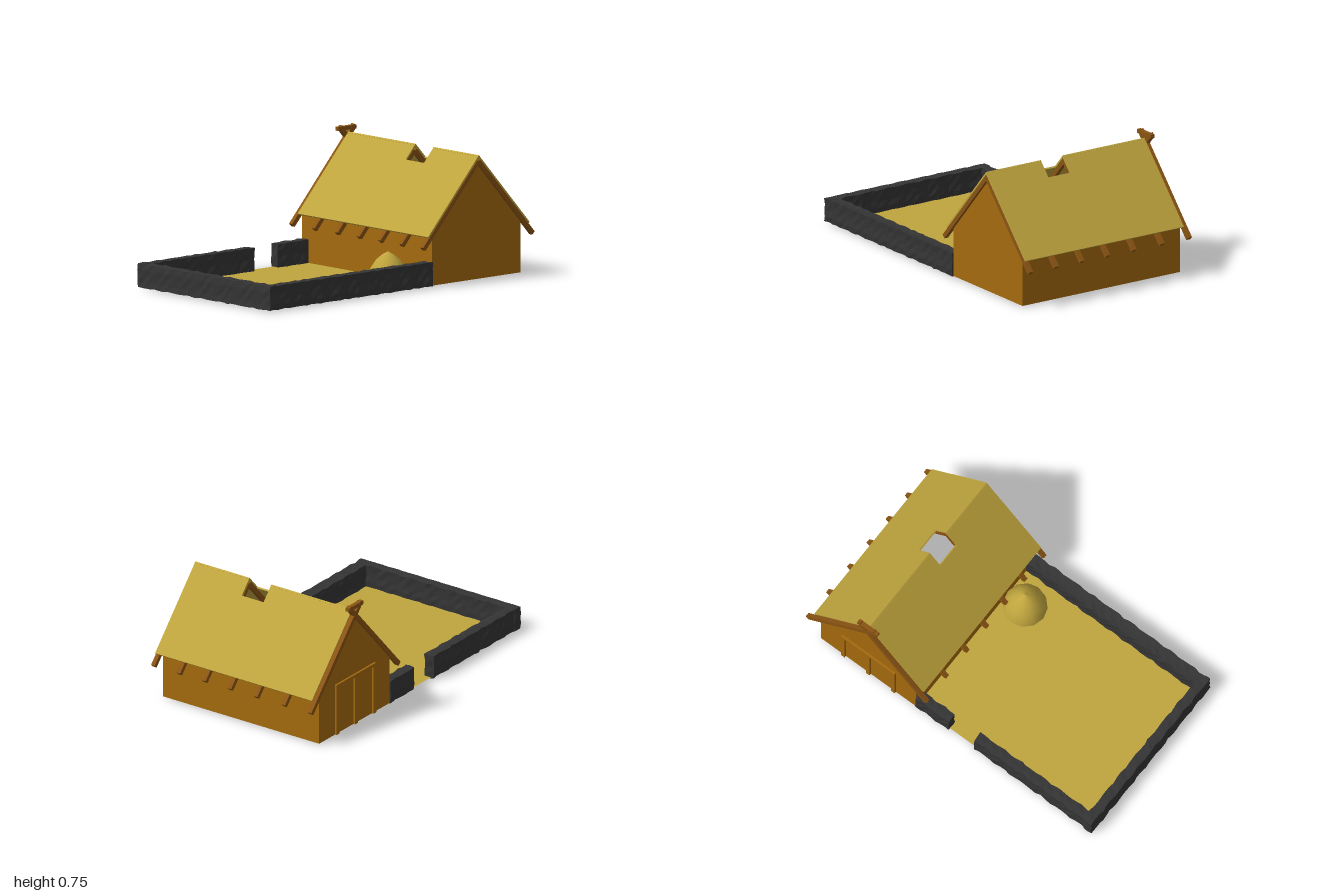
import * as THREE from 'three';

const mat = (name, color, extra = {}) => {
  const m = new THREE.MeshStandardMaterial({ color, ...extra });
  m.name = name;
  return m;
};

export function createModel() {
  const root = new THREE.Group();
  const straw = mat('straw', 0xbfa43d, { side: THREE.DoubleSide });
  const plank = mat('plank', 0xa46a0e, { side: THREE.DoubleSide });
  const timber = mat('timber', 0x8a5413);
  const stone = mat('darkStone', 0x343434);

  const add = (parent, name, geo, material, x = 0, y = 0, z = 0) => {
    const mesh = new THREE.Mesh(geo, material);
    mesh.name = name;
    mesh.position.set(x, y, z);
    parent.add(mesh);
    return mesh;
  };
  const box = (parent, name, material, w, h, d, x, y, z) =>
    add(parent, name, new THREE.BoxGeometry(w, h, d), material, x, y, z);

  // Yard floor
  add(root, 'yardFloor', new THREE.PlaneGeometry(1.05, 1.2).rotateX(-Math.PI / 2), straw, 0, 0.012, 0.36);

  // Rough stone walls: boxes whose vertices are pushed about by smooth noise
  const noise = (a, b, c, k) =>
    0.5 * Math.sin(a * 47 + c * 31 + k) + 0.3 * Math.sin(b * 83 - a * 71 + k * 2.3) + 0.3 * Math.sin(c * 97 + b * 59 + k * 3.1);
  const stoneWall = (name, x0, x1, z0, z1) => {
    const w = x1 - x0, d = z1 - z0, h = 0.136;
    const seg = (v) => Math.max(2, Math.round(v / 0.035));
    let g = new THREE.BoxGeometry(w, h, d, seg(w), 4, seg(d));
    g.translate((x0 + x1) / 2, 0.007 + h / 2, (z0 + z1) / 2);
    const p = g.attributes.position;
    for (let i = 0; i < p.count; i++) {
      const x = p.getX(i), y = p.getY(i), z = p.getZ(i);
      p.setXYZ(i,
        x + 0.007 * noise(z, y, x, 1),
        Math.max(0, y + 0.005 * noise(x, z, y, 2)),
        z + (z < -0.2 ? 0 : 0.006 * noise(x, y, z, 4)));
    }
    g = g.toNonIndexed();
    g.computeVertexNormals();
    add(root, name, g, stone);
  };
  stoneWall('frontYardWall', -0.543, 0.543, 0.935, 0.99);
  stoneWall('leftYardWall', 0.475, 0.543, -0.24, 0.985);
  stoneWall('rightYardWallLong', -0.54, -0.483, 0.17, 0.985);
  stoneWall('rightYardWallShort', -0.54, -0.483, -0.24, -0.01);

  // Hay pile
  const hay = [[0.128, 0.004], [0.12, 0.05], [0.1, 0.095], [0.07, 0.14], [0.035, 0.17], [0, 0.19]];
  add(root, 'hayPile', new THREE.LatheGeometry(hay.map(([r, y]) => new THREE.Vector2(r, y)), 12), straw, 0.305, 0, -0.12);

  // House walls: two long sides and two gables, open underneath
  const house = new THREE.Group();
  house.name = 'house';
  root.add(house);
  const zF = -0.24, zB = -0.908, wallX = 0.536, eave = 0.31, base = 0.01;
  const sideGeo = new THREE.PlaneGeometry(wallX * 2, eave - base);
  add(house, 'frontWall', sideGeo, plank, 0, (eave + base) / 2, zF);
  add(house, 'backWall', sideGeo.clone().rotateY(Math.PI), plank, 0, (eave + base) / 2, zB);
  const gable = new THREE.Shape([[-zF, base], [-zB, base], [-zB, eave], [0.576, 0.685], [-zF, eave]]
    .map(([a, b]) => new THREE.Vector2(a, b)));
  const gableGeo = new THREE.ShapeGeometry(gable).rotateY(Math.PI / 2);
  add(house, 'leftGable', gableGeo, plank, wallX);
  add(house, 'rightGable', gableGeo, plank, -wallX);

  // Door frame on the right gable
  for (const z of [-0.745, -0.57, -0.395])
    box(house, 'doorPost', plank, 0.024, 0.29, 0.025, -wallX, 0.155, z);
  box(house, 'doorLintel', plank, 0.024, 0.02, 0.375, -wallX, 0.305, -0.57);

  // Roof slopes: local z runs down the slope, local y is its outward normal
  const run = 0.383, drop = 0.42, len = Math.hypot(run, drop), notch = 0.11;
  for (const side of [1, -1]) {
    const slope = new THREE.Group();
    slope.name = side > 0 ? 'frontSlope' : 'backSlope';
    slope.position.set(0, 0.71, -0.579);
    slope.rotation.set(Math.atan2(drop, run), side > 0 ? 0 : Math.PI, 0, 'YXZ');
    house.add(slope);

    // Thatch with a smoke-hole notch at the ridge
    const outline = [[-0.525, 0], [0.03, 0], [0.03, notch], [0.18, notch], [0.18, 0], [0.552, 0], [0.552, len], [-0.525, len]];
    const shape = new THREE.Shape(outline.map(([x, s]) => new THREE.Vector2(x * side, s)));
    const thatch = new THREE.ExtrudeGeometry(shape, { depth: 0.01, bevelEnabled: false }).rotateX(Math.PI / 2);
    add(slope, 'thatch', thatch, straw);

    // Rafters poking out below the eaves
    for (const x of [-0.355, -0.165, 0.015, 0.19, 0.365, 0.54]) {
      const start = x === 0.015 ? 0.03 : 0.025;
      box(slope, 'rafter', timber, 0.025, 0.025, 0.636 - start, x * side, -0.0235, (0.636 + start) / 2);
    }
    // Gable board crossing its twin above the ridge
    box(slope, 'gableBoard', timber, 0.026, 0.026, 0.696, -0.538 * side, -0.02, 0.288);
  }

  // Short log resting in the crossed gable boards
  box(house, 'ridgeLog', timber, 0.025, 0.022, 0.137, -0.538, 0.731, -0.574);

  return root;
}
